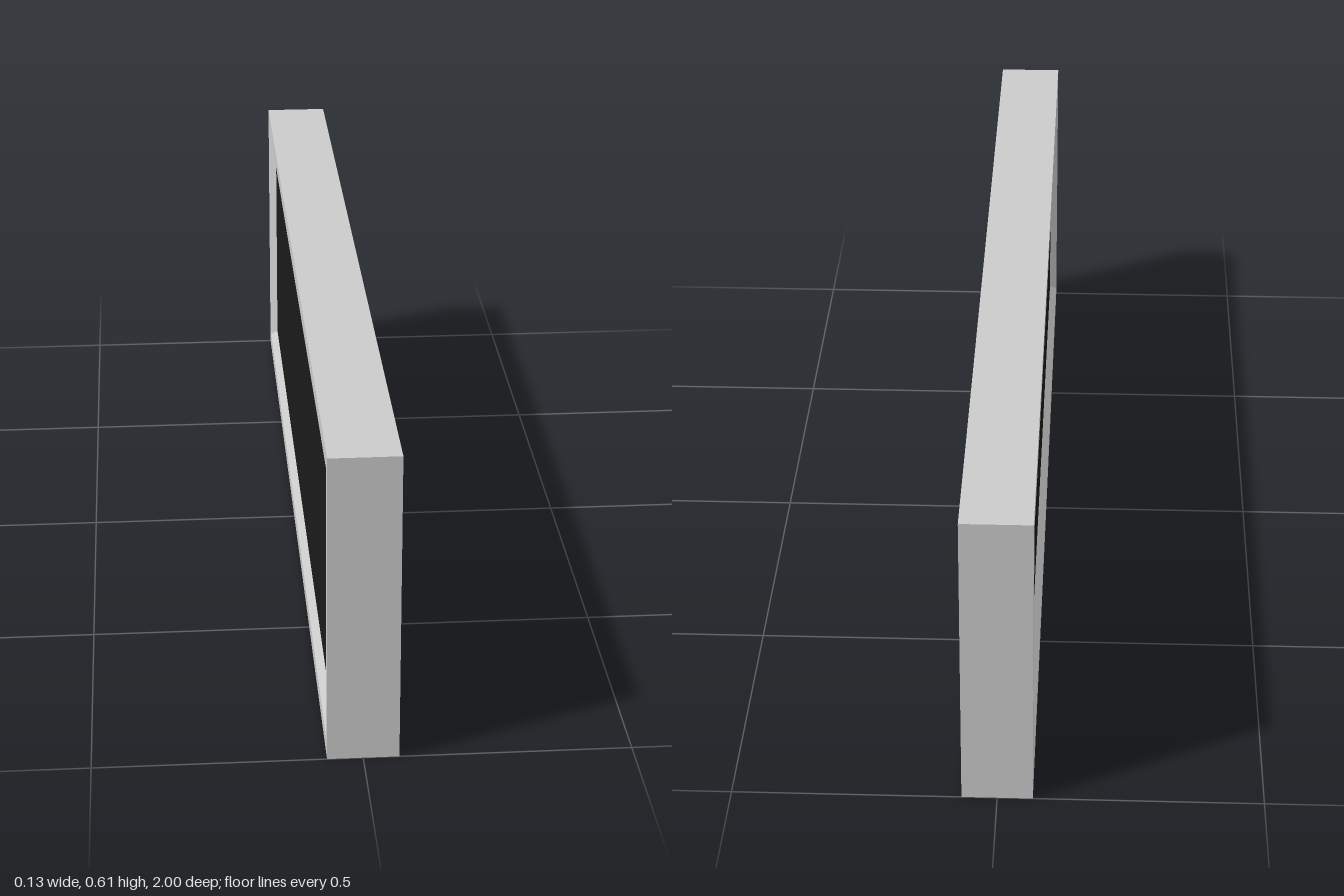
import * as THREE from 'three';

const LENGTH = 2, HEIGHT = 0.612, HALF_DEPTH = 0.067;

// Four corners of a rectangle in the plane x, inset from the outer outline
function ring(x, insetY, insetZ) {
  const z = LENGTH / 2 - insetZ, y0 = insetY, y1 = HEIGHT - insetY;
  return [[x, y0, z], [x, y0, -z], [x, y1, -z], [x, y1, z]];
}

// Joins two rectangles with four flat sides
function band(name, a, b, material) {
  const pos = [];
  for (let i = 0; i < 4; i++) {
    const j = (i + 1) % 4;
    pos.push(...a[i], ...b[i], ...a[j], ...a[j], ...b[i], ...b[j]);
  }
  const geometry = new THREE.BufferGeometry();
  geometry.setAttribute('position', new THREE.Float32BufferAttribute(pos, 3));
  geometry.computeVertexNormals();
  const mesh = new THREE.Mesh(geometry, material);
  mesh.name = name;
  return mesh;
}

export function createModel() {
  const group = new THREE.Group();
  group.name = 'framedPanel';
  const grey = new THREE.MeshStandardMaterial({ color: 0xcccccc, side: THREE.DoubleSide });
  const black = new THREE.MeshStandardMaterial({ color: 0x1a1a1a, side: THREE.DoubleSide });

  const panelX = -HALF_DEPTH + 0.015, insetY = 0.049, insetZ = 0.054;
  const open = ring(HALF_DEPTH, 0, 0);
  const outer = ring(-HALF_DEPTH, 0, 0);
  const inner = ring(-HALF_DEPTH, 0.032, 0.031);
  const recess = ring(panelX, insetY, insetZ);

  // Thin casing open on +x, flat rim on -x, bevel sloping in to the panel
  group.add(band('casingWalls', open, outer, grey));
  group.add(band('rim', outer, inner, grey));
  group.add(band('bevel', inner, recess, grey));

  // Dark panel closing the recess
  const panel = new THREE.Mesh(
    new THREE.PlaneGeometry(LENGTH - 2 * insetZ, HEIGHT - 2 * insetY), black);
  panel.name = 'panel';
  panel.rotation.y = -Math.PI / 2;
  panel.position.set(panelX, HEIGHT / 2, 0);
  group.add(panel);

  return group;
}
